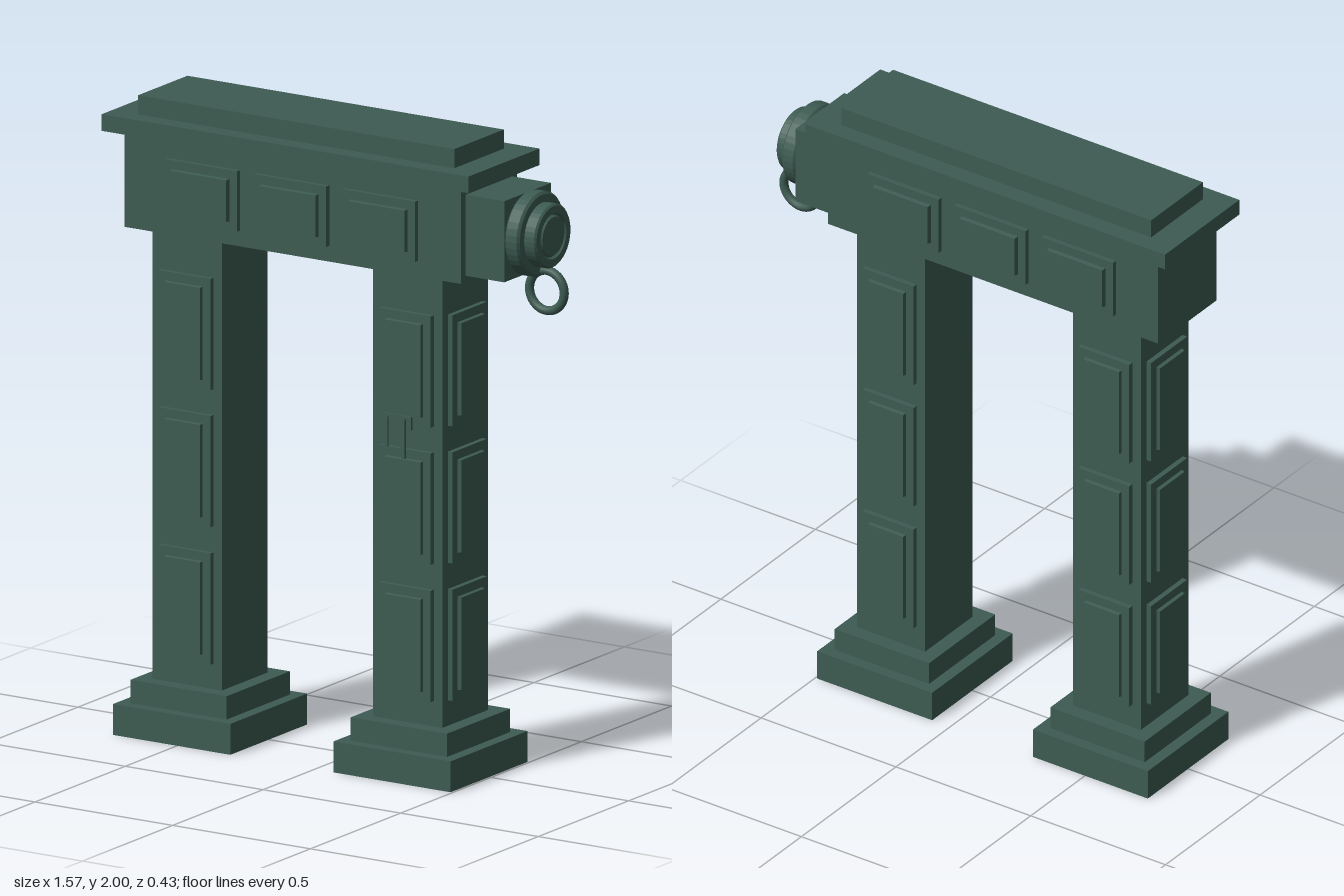
import * as THREE from 'three';

export function createModel() {
  const root = new THREE.Group();
  root.name = 'gateway';
  const stone = new THREE.MeshStandardMaterial({ color: 0x3d5b52 });
  stone.name = 'dark green stone';

  const add = (parent, name, geometry, x = 0, y = 0, z = 0) => {
    const mesh = new THREE.Mesh(geometry, stone);
    mesh.name = name;
    mesh.position.set(x, y, z);
    parent.add(mesh);
    return mesh;
  };
  // Box given by its limits in x and y and its half depth in z
  const block = (parent, name, x0, x1, y0, y1, hz) =>
    add(parent, name, new THREE.BoxGeometry(x1 - x0, y1 - y0, hz * 2), (x0 + x1) / 2, (y0 + y1) / 2, 0);

  // Raised panel: a flat frame plate with a bevelled field, facing +z before turning
  function panel(parent, w, h, x, y, z, turn, frameDepth, fieldDepth) {
    const g = new THREE.Group();
    g.name = 'raisedPanel';
    add(g, 'panelFrame', new THREE.BoxGeometry(w, h, frameDepth), 0, 0, frameDepth / 2);
    const field = new THREE.BoxGeometry(w - 0.05, h - 0.05, fieldDepth);
    const p = field.attributes.position;
    for (let i = 0; i < p.count; i++) {
      if (p.getZ(i) > 0) {
        p.setX(i, p.getX(i) - Math.sign(p.getX(i)) * 0.005);
        p.setY(i, p.getY(i) - Math.sign(p.getY(i)) * 0.005);
      }
    }
    field.computeVertexNormals();
    add(g, 'panelField', field, 0, 0, fieldDepth / 2);
    g.position.set(x, y, z);
    g.rotation.y = turn;
    parent.add(g);
  }

  // Pillars: stepped base, shaft, panels on front, back and outer side
  for (const [name, cx, outer] of [['rightPillar', -0.52, -1], ['leftPillar', 0.28, 1]]) {
    const pillar = new THREE.Group();
    pillar.name = name;
    pillar.position.x = cx;
    root.add(pillar);
    block(pillar, 'plinth', -0.213, 0.213, 0, 0.097, 0.213);
    block(pillar, 'baseStep', -0.175, 0.175, 0.097, 0.17, 0.175);
    block(pillar, 'shaft', -0.126, 0.126, 0.17, 1.585, 0.126);
    for (const y of [0.425, 0.857, 1.288]) {
      panel(pillar, 0.19, 0.35, 0, y, 0.126, 0, 0.017, 0.029);
      panel(pillar, 0.19, 0.35, 0, y, -0.126, Math.PI, 0.017, 0.029);
      panel(pillar, 0.19, 0.35, outer * 0.126, y, 0, outer * Math.PI / 2, 0.017, 0.029);
    }
  }

  // Lintel and stepped cornice
  block(root, 'lintel', -0.73, 0.493, 1.585, 1.888, 0.155);
  block(root, 'cornice', -0.785, 0.547, 1.888, 1.94, 0.197);
  block(root, 'capSlab', -0.692, 0.457, 1.94, 2, 0.137);
  for (const x of [-0.442, -0.118, 0.205]) {
    panel(root, 0.265, 0.19, x, 1.73, 0.155, 0, 0.017, 0.031);
    panel(root, 0.265, 0.19, x, 1.73, -0.155, Math.PI, 0.017, 0.031);
  }

  // Beam end with stepped round boss
  block(root, 'beamEnd', 0.493, 0.633, 1.605, 1.86, 0.129);
  const profile = [
    [0, 0], [0.124, 0], [0.132, 0.008], [0.132, 0.046], [0.124, 0.053],
    [0.1, 0.053], [0.1, 0.088], [0.094, 0.094], [0.072, 0.094],
    [0.066, 0.086], [0.06, 0.094], [0, 0.094],
  ].map(([r, h]) => new THREE.Vector2(r, h));
  const bossGeometry = new THREE.LatheGeometry(profile, 40).toNonIndexed();
  bossGeometry.computeVertexNormals();
  add(root, 'roundBoss', bossGeometry, 0.633, 1.735, 0).rotation.z = -Math.PI / 2;

  // Hanging ring
  add(root, 'hangingRing', new THREE.TorusGeometry(0.063, 0.014, 12, 36), 0.703, 1.561, 0);

  // Small thin bracket on the front of the left pillar
  const bracket = new THREE.Group();
  bracket.name = 'smallBracket';
  bracket.position.z = 0.154;
  root.add(bracket);
  for (const [x, y, w, h] of [
    [0.262, 1.135, 0.1, 0.01], [0.222, 1.085, 0.01, 0.1],
    [0.283, 1.07, 0.012, 0.13], [0.308, 1.118, 0.01, 0.04],
  ]) add(bracket, 'bracketBar', new THREE.BoxGeometry(w, h, 0.008), x, y, 0);

  return root;
}
